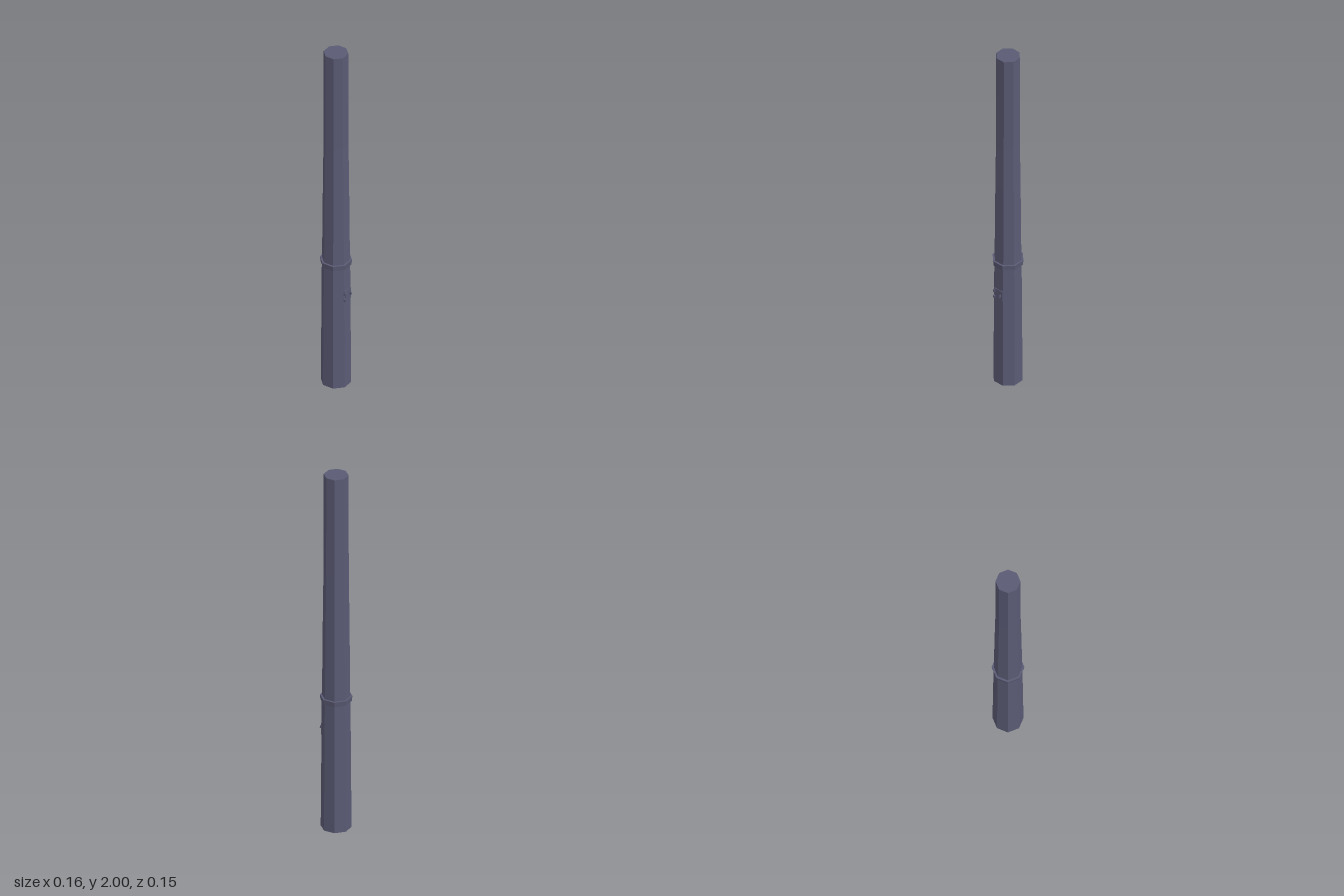
import * as THREE from 'three';

const SIDES = 8;
const metal = new THREE.MeshStandardMaterial({ color: 0x5a5a74, flatShading: true });

// Octagonal turned part from [apothem, height] pairs, flats facing the axes
function octagon(name, profile) {
  const k = 1 / Math.cos(Math.PI / SIDES);
  const points = profile.map(([a, y]) => new THREE.Vector2(a * k, y));
  const mesh = new THREE.Mesh(new THREE.LatheGeometry(points, SIDES, Math.PI / SIDES), metal);
  mesh.name = name;
  mesh.position.set(-0.004, 0, -0.001);
  return mesh;
}

function box(name, size, position, tilt = 0) {
  const mesh = new THREE.Mesh(new THREE.BoxGeometry(...size), metal);
  mesh.name = name;
  mesh.position.set(...position);
  mesh.rotation.z = tilt;
  return mesh;
}

export function createModel() {
  const model = new THREE.Group();
  model.name = 'pole';

  // Slightly tapered pole sections and the band between them
  model.add(octagon('lowerShaft', [[0, 0], [0.072, 0], [0.069, 0.4], [0.067, 0.73]]));
  model.add(octagon('collar', [[0.066, 0.715], [0.073, 0.717], [0.076, 0.745], [0.064, 0.745]]));
  model.add(octagon('upperShaft', [[0.066, 0.74], [0.062, 1.2], [0.059, 1.45], [0.058, 2], [0, 2]]));

  // Small access hatch on the left side: notched plate
  const hatch = new THREE.Group();
  hatch.name = 'accessHatch';
  const outline = new THREE.Shape([
    [-0.028, -0.032], [0.028, -0.032], [0.028, -0.012], [0.02, -0.012], [0.02, 0.012],
    [0.028, 0.012], [0.028, 0.032], [-0.028, 0.032],
  ].map(([u, v]) => new THREE.Vector2(-u, v)));
  const plate = new THREE.Mesh(
    new THREE.ExtrudeGeometry(outline, { depth: 0.012, bevelEnabled: false }), metal);
  plate.name = 'hatchPlate';
  plate.rotation.y = Math.PI / 2;
  plate.position.set(0.056, 0.548, 0);
  hatch.add(plate);

  // Hinge lugs and the protruding latch tab
  for (const y of [0.53, 0.566]) {
    hatch.add(box('hingeLug', [0.014, 0.012, 0.01], [0.068, y, 0.025]));
  }
  hatch.add(box('latchTab', [0.018, 0.014, 0.005], [0.07, 0.551, -0.017], 0.3));
  model.add(hatch);

  return model;
}
